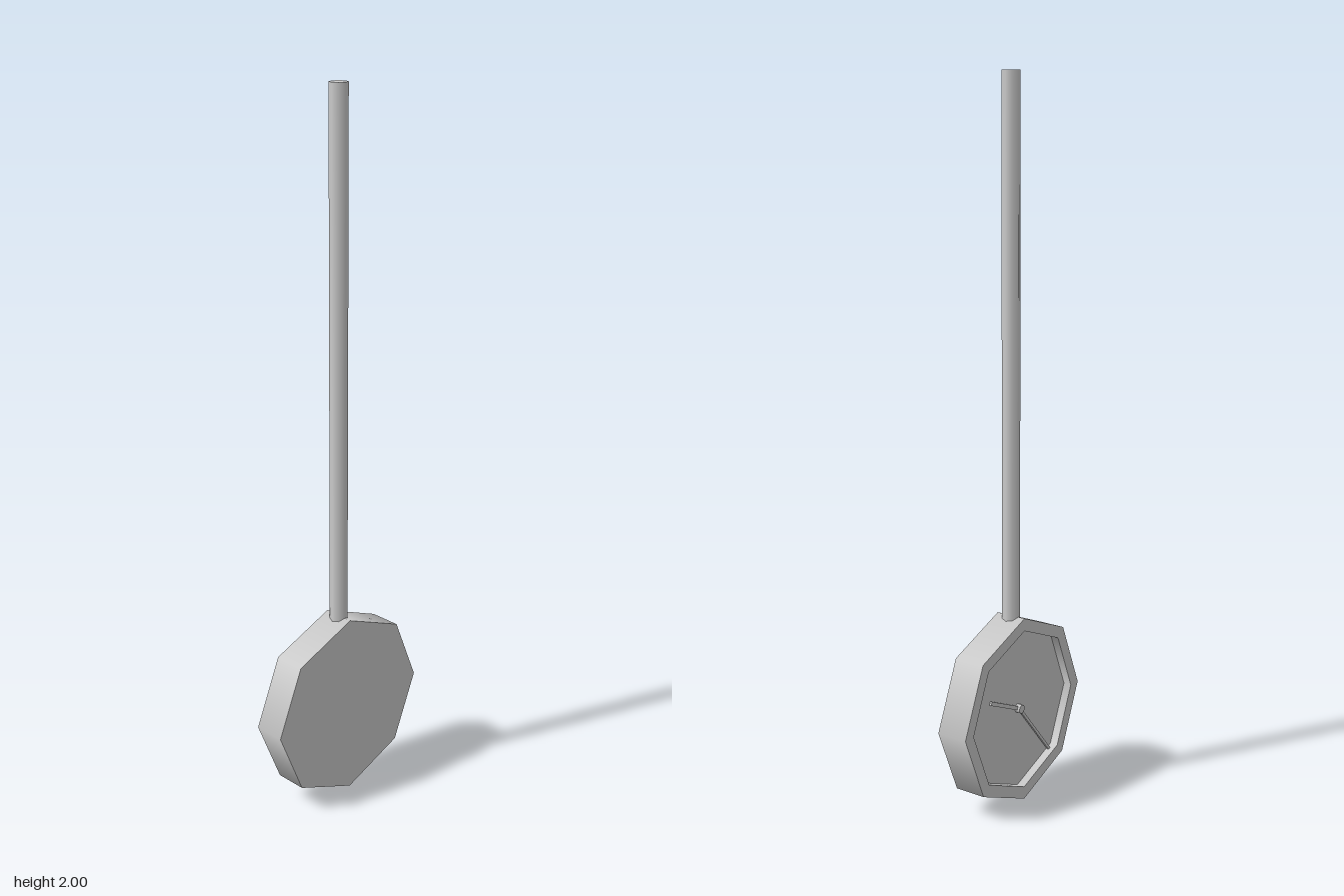
import * as THREE from 'three';
import { mergeGeometries } from 'three/addons/utils/BufferGeometryUtils.js';

const SIDES = 8;
const R = 0.268;      // case radius, also the height of its centre
const HALF = 0.046;   // half the case thickness
const FLOOR = 0.022;  // dial depth behind the centre plane

// Turns each profile segment on its own, so edges between segments stay sharp.
function turned(points) {
  const strips = [];
  for (let i = 0; i < points.length - 1; i++) {
    const pair = [points[i], points[i + 1]].map(([r, y]) => new THREE.Vector2(r, y));
    strips.push(new THREE.LatheGeometry(pair, SIDES));
  }
  return mergeGeometries(strips);
}

export function createModel() {
  const model = new THREE.Group();
  model.name = 'dialGauge';
  const steel = new THREE.MeshStandardMaterial({ color: 0xcccccc });
  steel.name = 'steel';

  function add(name, geometry, parent = model) {
    const mesh = new THREE.Mesh(geometry, steel);
    mesh.name = name;
    parent.add(mesh);
    return mesh;
  }

  // Stem, standing on top of the case
  const bottom = 0.525;
  const stem = add('stem', new THREE.CylinderGeometry(0.025, 0.025, 2 - bottom, SIDES));
  stem.position.y = (2 + bottom) / 2;

  // Case with a recessed dial; its axis points to the back
  const head = new THREE.Group();
  head.name = 'head';
  head.position.y = R;
  model.add(head);
  const inner = 0.232;
  const caseGeometry = turned([
    [0, -HALF], [R, -HALF], [R, HALF], [inner, HALF], [inner, FLOOR], [0, FLOOR],
  ]);
  add('case', caseGeometry.rotateX(-Math.PI / 2), head);

  // Hub and two hands on the dial
  const hub = add('hub', new THREE.CylinderGeometry(0.013, 0.013, 0.016, SIDES), head);
  hub.rotation.x = Math.PI / 2;
  hub.position.z = -FLOOR - 0.008;

  function addHand(name, x, y, width) {
    const length = Math.hypot(x, y);
    const hand = add(name, new THREE.BoxGeometry(length, width, 0.006), head);
    hand.position.set(x / 2, y / 2, -FLOOR - 0.006);
    hand.rotation.z = Math.atan2(y, x);
  }
  addHand('shortHand', 0.132, 0.058, 0.011);
  addHand('longHand', -0.147, -0.173, 0.008);

  return model;
}
